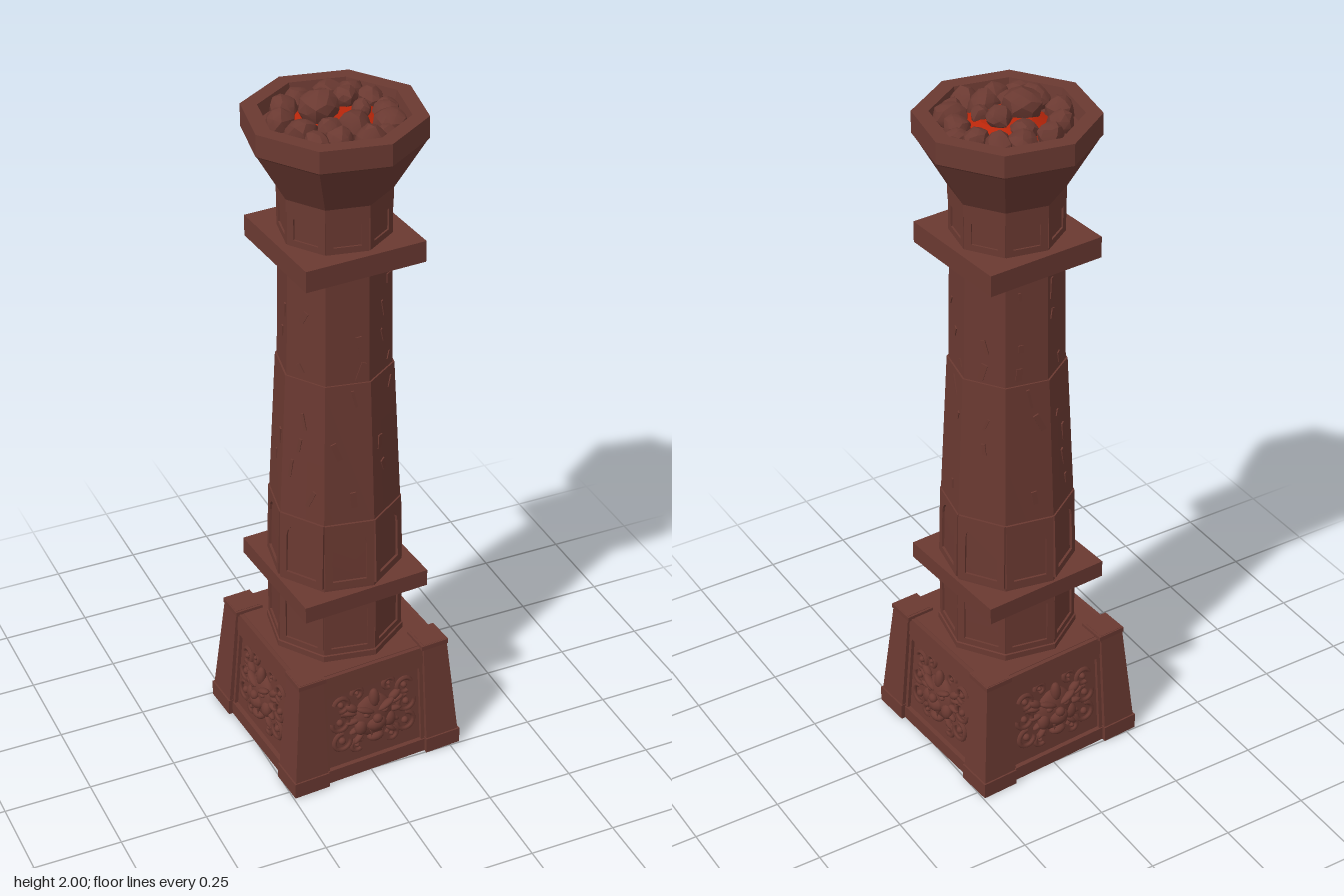
import * as THREE from 'three';
import { toCreasedNormals } from 'three/addons/utils/BufferGeometryUtils.js';

const stone = new THREE.MeshStandardMaterial({ color: 0x6a3931 });
stone.name = 'brown stone';
const ember = new THREE.MeshStandardMaterial({ color: 0xb8260a });
ember.name = 'glowing ember';

const BASE_TURN = 0.068, SHAFT_TURN = 0.21;
let seed = 7;
const rand = () => (seed = (seed * 16807) % 2147483647) / 2147483647;
const V2 = (x, y) => new THREE.Vector2(x, y);

function add(parent, name, geo, x = 0, y = 0, z = 0, mat = stone) {
  const m = new THREE.Mesh(geo, mat);
  m.name = name;
  m.position.set(x, y, z);
  parent.add(m);
  return m;
}
function group(parent, name, turn = 0) {
  const g = new THREE.Group();
  g.name = name;
  g.rotation.y = turn;
  parent.add(g);
  return g;
}
const box = (w, h, d) => new THREE.BoxGeometry(w, h, d);
const octagon = (pts) =>
  toCreasedNormals(new THREE.LatheGeometry(pts.map(([r, y]) => V2(r, y)), 8), 0.03);

// Flat border with an opening, optionally arched at the top
function frame(w, h, border, depth, arched = false) {
  const s = new THREE.Shape([V2(-w / 2, -h / 2), V2(w / 2, -h / 2), V2(w / 2, h / 2), V2(-w / 2, h / 2)]);
  const a = w / 2 - border, b = h / 2 - border;
  const hole = new THREE.Path();
  hole.moveTo(-a, -b);
  hole.lineTo(-a, arched ? b - a : b);
  if (arched) hole.absarc(0, b - a, a, Math.PI, 0, true);
  else hole.lineTo(a, b);
  hole.lineTo(a, -b);
  hole.closePath();
  s.holes.push(hole);
  return new THREE.ExtrudeGeometry(s, { depth, bevelEnabled: false, curveSegments: 4 });
}

// Eight copies of a part, one on each face of the shaft
function onFacets(parent, name, y, r, tilt, make) {
  for (let k = 0; k < 8; k++) {
    const g = group(parent, name + 'Facet', Math.PI / 8 + (k * Math.PI) / 4);
    const m = add(g, name, make(k), 0, y, r * Math.cos(Math.PI / 8) - 0.001);
    m.rotation.x = -tilt;
  }
}

// Faceted boulder with vertices pushed in and out by a repeatable rule
function boulder(r, k) {
  const g = new THREE.IcosahedronGeometry(r, 1), p = g.attributes.position;
  for (let i = 0; i < p.count; i++) {
    const [x, y, z] = [p.getX(i) / r, p.getY(i) / r, p.getZ(i) / r];
    const f = 1 + 0.11 * Math.sin(4 * x + k) * Math.cos(3 * z + 2 * k) + 0.06 * Math.sin(5 * y + k);
    p.setXYZ(i, p.getX(i) * f, p.getY(i) * f, p.getZ(i) * f);
  }
  return toCreasedNormals(g, 0.45);
}

// Corner post: straight inner sides, outer sides leaning inward
function postGeometry() {
  const g = box(1, 1, 1), p = g.attributes.position;
  for (let i = 0; i < p.count; i++) {
    const outer = p.getY(i) > 0 ? 0.231 : 0.26;
    p.setXYZ(i, p.getX(i) > 0 ? outer : 0.158, p.getY(i) > 0 ? 0.36 : 0.04, p.getZ(i) > 0 ? outer : 0.158);
  }
  return toCreasedNormals(g, 0.1);
}

// Carved beast mask surrounded by scrolls
function addMask(panel) {
  const ball = new THREE.SphereGeometry(1, 12, 8);
  const blob = (name, x, y, z, sx, sy, sz, roll = 0) => {
    const m = add(panel, name, ball, x, y, z);
    m.scale.set(sx, sy, sz);
    m.rotation.z = roll;
  };
  blob('maskHead', 0, 0, 0, 0.062, 0.068, 0.026);
  blob('muzzle', 0, -0.018, 0.018, 0.032, 0.024, 0.022);
  blob('nose', 0, 0.003, 0.03, 0.015, 0.014, 0.012);
  blob('chin', 0, -0.066, 0.01, 0.026, 0.014, 0.018);
  blob('foreheadCrest', 0, 0.062, 0.012, 0.016, 0.03, 0.014);
  for (const s of [-1, 1]) {
    blob('brow', s * 0.032, 0.034, 0.02, 0.03, 0.009, 0.013, s * 0.45);
    blob('eye', s * 0.028, 0.017, 0.02, 0.011, 0.008, 0.008);
    blob('cheek', s * 0.045, -0.022, 0.012, 0.02, 0.024, 0.015);
    blob('ear', s * 0.068, 0.046, 0.006, 0.022, 0.012, 0.012, s * 0.6);
    const fang = add(panel, 'fang', new THREE.ConeGeometry(0.006, 0.024, 6), s * 0.018, -0.045, 0.024);
    fang.rotation.x = Math.PI;
    [[0.1, 0.065, 0.023, 0.3], [0.105, 0.008, 0.026, 1.6], [0.1, -0.055, 0.027, 3], [0.055, -0.082, 0.018, 4], [0.05, 0.09, 0.016, 0]]
      .forEach(([x, y, r, a]) => {
        const curl = add(panel, 'scroll', new THREE.TorusGeometry(r, 0.007, 5, 14, 4.9), s * x, y, 0.004);
        curl.rotation.set(0, s < 0 ? Math.PI : 0, a);
        blob('scrollBud', s * x, y, 0.002, r * 0.4, r * 0.4, 0.01);
      });
    for (let i = 0; i < 4; i++) {
      blob('maneLock', s * (0.075 - 0.008 * i), 0.03 - 0.03 * i, 0.006, 0.022, 0.008, 0.01, s * (0.3 - 0.35 * i));
    }
  }
}

function addBase(root) {
  const base = group(root, 'base', BASE_TURN);
  const body = new THREE.CylinderGeometry(0.212 * Math.SQRT2, 0.242 * Math.SQRT2, 0.35, 4);
  add(base, 'baseBody', toCreasedNormals(body.rotateY(Math.PI / 4), 0.1), 0, 0.175, 0);
  const post = postGeometry();
  for (let k = 0; k < 4; k++) {
    const side = group(base, 'baseSide', (k * Math.PI) / 2);
    add(side, 'cornerPost', post);
    add(side, 'postFoot', box(0.108, 0.048, 0.108), 0.21, 0.024, 0.21);
    add(side, 'postCap', box(0.084, 0.014, 0.084), 0.193, 0.352, 0.193);
    add(side, 'bottomRail', box(0.32, 0.042, 0.02), 0, 0.021, 0.242);
    const panel = group(side, 'carvedPanel');
    panel.position.set(0, 0.175, 0.227);
    panel.rotation.x = -0.085;
    add(panel, 'panelFrame', frame(0.32, 0.27, 0.013, 0.01), 0, -0.015, 0);
    add(panel, 'topRail', box(0.32, 0.054, 0.02), 0, 0.147, 0.003);
    addMask(panel);
  }
}

function addShaft(root) {
  const shaft = group(root, 'shaft', SHAFT_TURN);
  add(shaft, 'shaftCore', octagon([
    [0.001, 0.34], [0.194, 0.34], [0.194, 0.368], [0.183, 0.372], [0.183, 0.6], [0.177, 0.8],
    [0.181, 0.8], [0.16, 1.222], [0.155, 1.222], [0.15, 1.55], [0.146, 1.6], [0.146, 1.73], [0.001, 1.73],
  ]));
  // Raised panel borders
  onFacets(shaft, 'lowerPanel', 0.45, 0.183, 0, () => frame(0.143, 0.165, 0.02, 0.007));
  onFacets(shaft, 'archedPanel', 0.695, 0.181, 0.028, () => frame(0.137, 0.205, 0.021, 0.007, true));
  onFacets(shaft, 'neckPanel', 1.655, 0.146, 0, () => frame(0.113, 0.1, 0.02, 0.006));
  // Weathered chips
  for (let row = 0; row < 9; row++) {
    const y = 0.87 + row * 0.077;
    const r = y < 1.222 ? 0.181 - (y - 0.8) * 0.05 : 0.155 - (y - 1.222) * 0.0153;
    for (let k = 0; k < 8; k++) {
      if (rand() < 0.35) continue;
      const g = group(shaft, 'chipFacet', Math.PI / 8 + (k * Math.PI) / 4);
      const chip = add(g, 'stoneChip', box(0.006 + 0.012 * rand(), 0.02 + 0.04 * rand(), 0.006),
        (rand() - 0.5) * 0.085, y, r * 0.924);
      chip.rotation.z = (rand() - 0.5) * 1.1;
    }
  }
  // Square collars
  const collars = group(root, 'collars', BASE_TURN);
  add(collars, 'lowerCollar', box(0.378, 0.05, 0.378), 0, 0.557, 0);
  add(collars, 'upperCollar', box(0.346, 0.06, 0.346), 0, 1.577, 0);
}

function addBowl(root) {
  const bowl = group(root, 'bowl', SHAFT_TURN);
  add(bowl, 'fireBowl', octagon([
    [0.001, 1.7], [0.152, 1.7], [0.152, 1.735], [0.236, 1.875], [0.241, 1.88], [0.24, 1.94],
    [0.196, 1.94], [0.188, 1.905], [0.001, 1.915],
  ]));
  add(root, 'emberBed', new THREE.CylinderGeometry(0.07, 0.12, 0.025, 12), 0.01, 1.923, -0.01, ember);
  // Coals: x, z, radius, height of centre
  const coals = [
    [-0.04, -0.005, 0.052, 1.95], [-0.1, -0.09, 0.037, 1.92], [-0.045, -0.13, 0.036, 1.918],
    [0.04, -0.135, 0.042, 1.915], [0.095, -0.115, 0.038, 1.918], [0.125, -0.06, 0.036, 1.92],
    [0.045, -0.035, 0.032, 1.952], [0.13, 0.027, 0.036, 1.917], [0.113, 0.088, 0.043, 1.918],
    [0.02, 0.083, 0.043, 1.925], [-0.113, 0.055, 0.044, 1.918], [-0.138, -0.027, 0.039, 1.918],
    [-0.1, 0.117, 0.034, 1.916], [-0.043, 0.127, 0.038, 1.917], [0.035, 0.143, 0.042, 1.912],
    [0.063, 0.024, 0.026, 1.94], [0.005, -0.088, 0.035, 1.925], [-0.045, 0.07, 0.034, 1.922],
    [0.08, 0.135, 0.03, 1.912], [0.15, -0.01, 0.03, 1.91],
  ];
  coals.forEach(([x, z, r, y], k) => {
    add(root, 'coal', boulder(r, k * 1.3), x, y, z).rotation.set(k, k * 2.1, 0);
  });
}

export function createModel() {
  const root = new THREE.Group();
  root.name = 'brazierPillar';
  addBase(root);
  addShaft(root);
  addBowl(root);
  return root;
}
